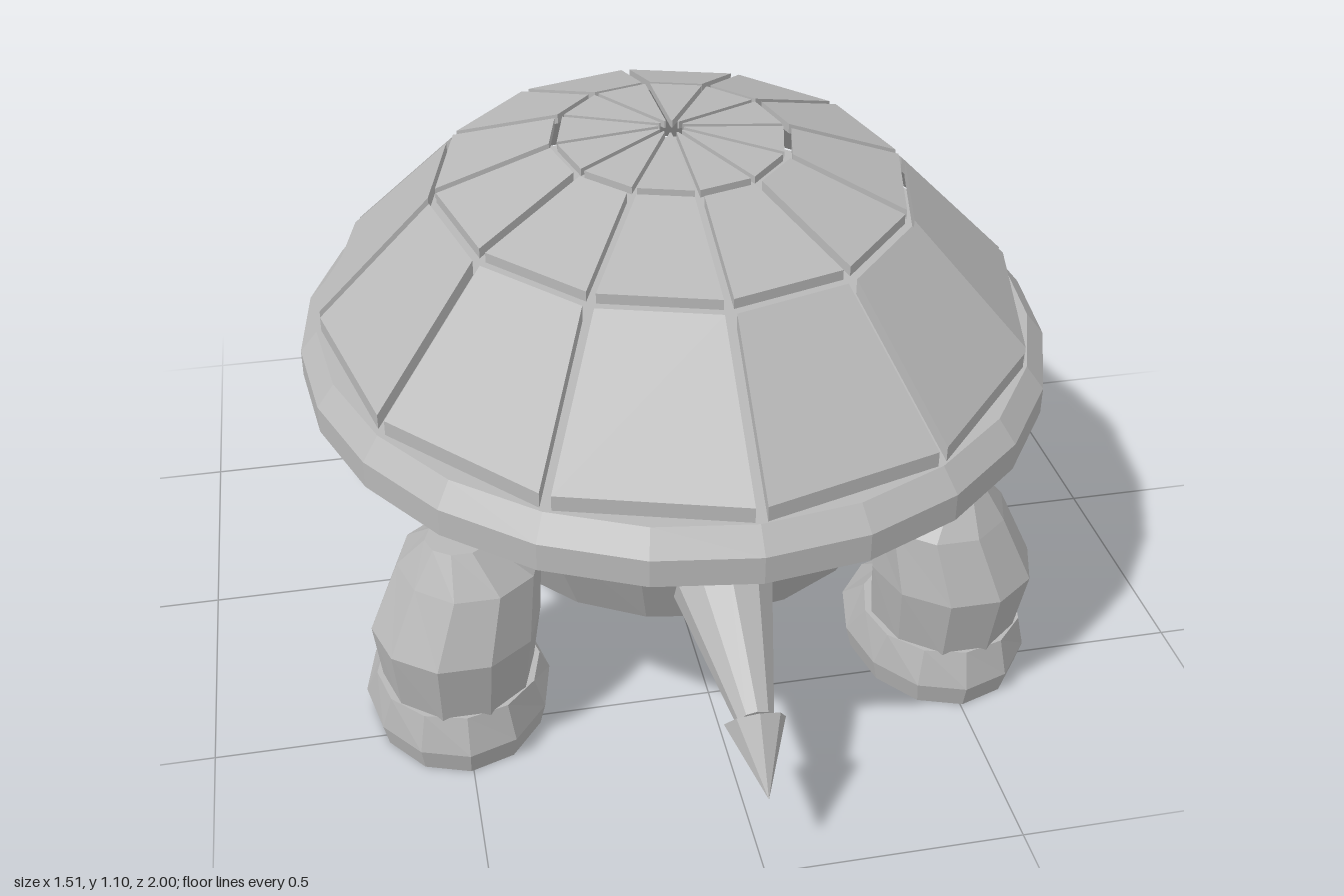
import * as THREE from 'three';

const grey = new THREE.MeshStandardMaterial({ color: 0xb8b8b8, flatShading: true });
grey.name = 'stone grey';

function add(parent, name, geometry) {
  const mesh = new THREE.Mesh(geometry, grey);
  mesh.name = name;
  parent.add(mesh);
  return mesh;
}

// Closed solid through horizontal elliptical rings [y, centreX, centreZ, radiusX, radiusZ], bottom to top
function loft(rings, sides) {
  const out = [];
  const p = ([y, cx, cz, rx, rz], j) => {
    const a = (j / sides) * Math.PI * 2;
    return [cx + rx * Math.cos(a), y, cz + rz * Math.sin(a)];
  };
  const mid = ([y, cx, cz]) => [cx, y, cz];
  const first = rings[0], last = rings[rings.length - 1];
  for (let j = 0; j < sides; j++) {
    for (let i = 0; i < rings.length - 1; i++) {
      const a = p(rings[i], j), b = p(rings[i + 1], j);
      const c = p(rings[i + 1], j + 1), d = p(rings[i], j + 1);
      out.push(...a, ...b, ...c, ...a, ...c, ...d);
    }
    out.push(...mid(first), ...p(first, j), ...p(first, j + 1));
    out.push(...mid(last), ...p(last, j + 1), ...p(last, j));
  }
  const g = new THREE.BufferGeometry();
  g.setAttribute('position', new THREE.Float32BufferAttribute(out, 3));
  g.computeVertexNormals();
  return g;
}

// Tapered rod from point a to point b
function rod(parent, name, a, b, ra, rb, sides) {
  const from = new THREE.Vector3(...a), to = new THREE.Vector3(...b);
  const dir = to.clone().sub(from);
  const mesh = add(parent, name, new THREE.CylinderGeometry(rb, ra, dir.length(), sides));
  mesh.position.copy(from).add(to).multiplyScalar(0.5);
  mesh.quaternion.setFromUnitVectors(new THREE.Vector3(0, 1, 0), dir.normalize());
  return mesh;
}

const CENTRE_Z = 0.09;

// One shell plate: a box bent into a sector between two radii, with a straight gap on each side
function plate(start, end, { inner, outer, yInner, yOuter, thick, gap }) {
  const g = new THREE.BoxGeometry(1, 1, 1);
  const pos = g.attributes.position;
  for (let i = 0; i < pos.count; i++) {
    const low = pos.getX(i) < 0, out = pos.getZ(i) > 0;
    const a = low ? start : end, r = out ? outer : inner, s = low ? gap : -gap;
    const y = (out ? yOuter : yInner) - (pos.getY(i) < 0 ? thick : 0);
    pos.setXYZ(i,
      r * Math.sin(a) + s * Math.cos(a), y,
      CENTRE_Z + 1.12 * (r * Math.cos(a) - s * Math.sin(a)));
  }
  g.computeVertexNormals();
  return g;
}

export function createModel() {
  const turtle = new THREE.Group();
  turtle.name = 'turtle';

  // Body and shell rim
  add(turtle, 'body', loft([
    [0.265, 0, 0.085, 0.45, 0.49],
    [0.52, 0, 0.085, 0.575, 0.615],
    [0.62, 0, 0.085, 0.505, 0.54],
  ], 20));
  add(turtle, 'shellRim', loft([
    [0.615, 0, CENTRE_Z, 0.755, 0.83],
    [0.67, 0, CENTRE_Z, 0.755, 0.83],
    [0.712, 0, CENTRE_Z, 0.72, 0.79],
  ], 24));

  // Three tiers of twelve separate plates
  const shell = new THREE.Group();
  shell.name = 'shell';
  turtle.add(shell);
  const tiers = [
    { inner: 0.48, outer: 0.71, yInner: 0.98, yOuter: 0.75, thick: 0.03, gap: 0.011 },
    { inner: 0.24, outer: 0.465, yInner: 1.076, yOuter: 1.0, thick: 0.02, gap: 0.009 },
    { inner: 0.025, outer: 0.225, yInner: 1.096, yOuter: 1.08, thick: 0.015, gap: 0.005 },
  ];
  for (const tier of tiers) {
    for (let k = 0; k < 12; k++) {
      add(shell, 'shellPlate', plate((k * Math.PI) / 6, ((k + 1) * Math.PI) / 6, tier));
    }
  }

  // Head, flat underneath
  const head = new THREE.Group();
  head.name = 'head';
  turtle.add(head);
  add(head, 'skull', loft([
    [0.307, 0, -0.66, 0.21, 0.23],
    [0.436, 0, -0.66, 0.28, 0.315],
    [0.585, 0, -0.66, 0.235, 0.26],
    [0.63, 0, -0.66, 0.12, 0.135],
  ], 16));

  // Face
  for (const s of [-1, 1]) {
    const eye = add(head, 'eye', new THREE.BoxGeometry(0.075, 0.07, 0.03));
    eye.position.set(s * 0.13, 0.48, -0.95);
    eye.rotation.y = -s * 0.25;
    const pupil = add(eye, 'pupil', new THREE.BoxGeometry(0.035, 0.035, 0.008));
    pupil.position.set(0, -0.005, -0.018);
    rod(head, 'browInner', [s * 0.06, 0.54, -0.965], [s * 0.13, 0.565, -0.98], 0.014, 0.018, 6);
    rod(head, 'browOuter', [s * 0.13, 0.565, -0.98], [s * 0.19, 0.55, -0.955], 0.018, 0.012, 6);
  }
  const smile = new THREE.QuadraticBezierCurve3(
    new THREE.Vector3(-0.055, 0.385, -0.965),
    new THREE.Vector3(0, 0.35, -1.0),
    new THREE.Vector3(0.055, 0.385, -0.965));
  add(head, 'mouth', new THREE.TubeGeometry(smile, 6, 0.008, 5));

  // Tail with a flared pointed tip
  rod(turtle, 'tail', [0, 0.385, 0.58], [0, 0.275, 0.89], 0.105, 0.035, 10);
  rod(turtle, 'tailTip', [0, 0.272, 0.885], [0, 0.19, 1.0], 0.058, 0.001, 8);

  // Legs: rings hold [y, x, z, radiusX, radiusZ]
  const legRings = {
    hind: [
      [0.12, 0.505, 0.46, 0.15, 0.162],
      [0.27, 0.505, 0.49, 0.165, 0.165],
      [0.40, 0.47, 0.465, 0.14, 0.15],
      [0.475, 0.49, 0.50, 0.065, 0.06],
    ],
    front: [
      [0.12, 0.505, -0.475, 0.15, 0.155],
      [0.27, 0.505, -0.44, 0.165, 0.16],
      [0.40, 0.47, -0.385, 0.14, 0.135],
      [0.475, 0.49, -0.41, 0.065, 0.065],
    ],
  };
  for (const [name, footZ] of [['hind', 0.412], ['front', -0.522]]) {
    for (const s of [-1, 1]) {
      const leg = new THREE.Group();
      leg.name = name + 'Leg';
      turtle.add(leg);
      const side = ([y, x, z, rx, rz]) => [y, s * x, z, rx, rz];
      add(leg, 'limb', loft(legRings[name].map(side), 10));
      add(leg, 'foot', loft([
        [0, 0.505, footZ, 0.175, 0.222],
        [0.05, 0.505, footZ, 0.187, 0.235],
        [0.13, 0.505, footZ + 0.045, 0.163, 0.168],
      ].map(side), 12));
      // Small claws on the toe
      for (const x of [0.44, 0.6]) {
        const claw = add(leg, 'claw', new THREE.IcosahedronGeometry(0.015, 0));
        claw.position.set(s * x, 0.03, footZ - 0.213);
      }
    }
  }
  return turtle;
}
